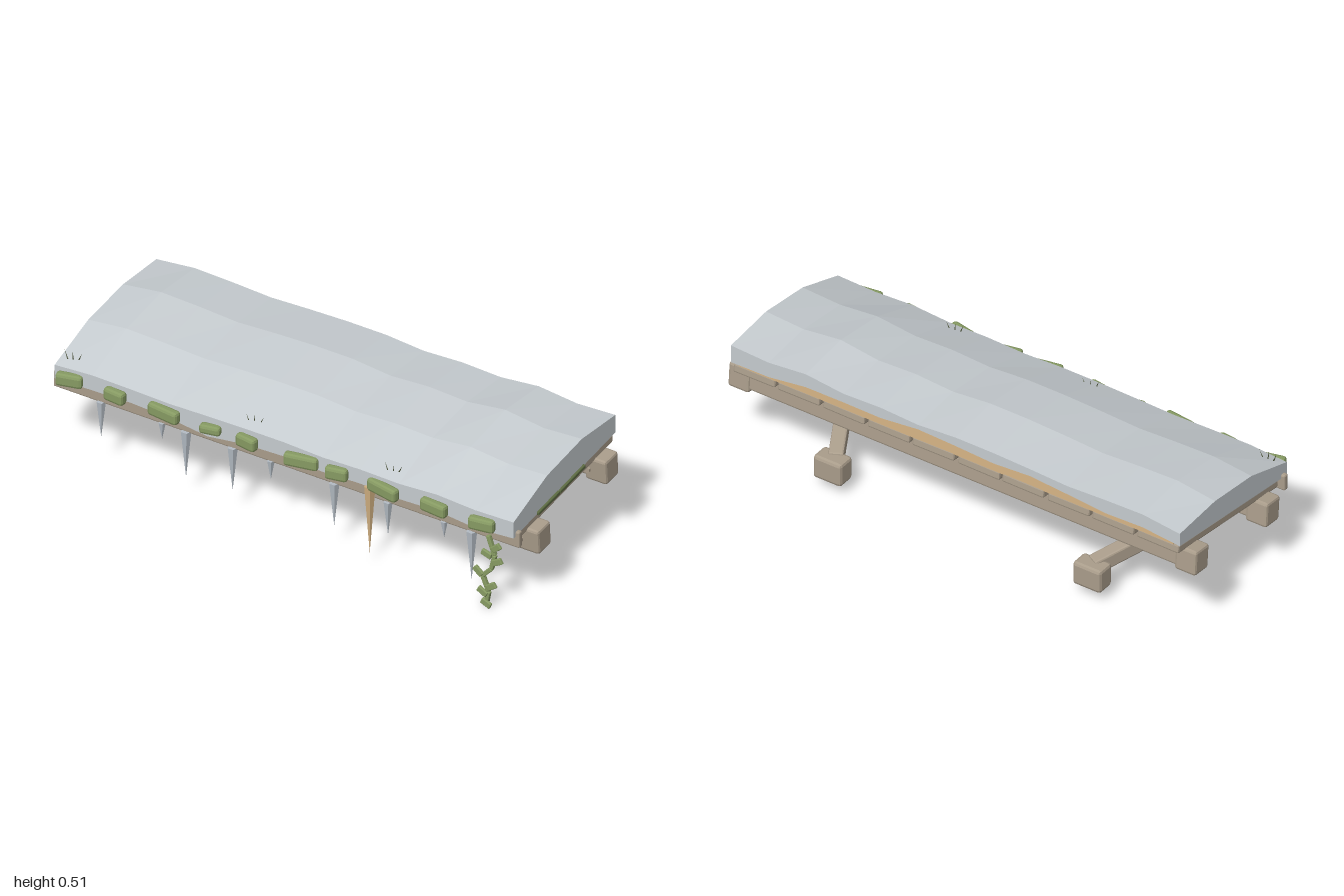
import * as THREE from 'three';
import { RoundedBoxGeometry } from 'three/addons/geometries/RoundedBoxGeometry.js';

const mat = (name, color) => {
  const m = new THREE.MeshStandardMaterial({ color });
  m.name = name;
  return m;
};

export function createModel() {
  const root = new THREE.Group();
  root.name = 'snowyCanopy';
  const wood = mat('weatheredWood', 0xaa9d8b);
  const snowMat = mat('snow', 0xc6ccd0);
  const ice = mat('ice', 0xb4bcc4);
  const straw = mat('straw', 0xcfae80);
  const moss = mat('moss', 0x879b63);
  const darkMoss = mat('darkMoss', 0x5c6a42);
  const grass = mat('dryGrass', 0x4a5138);

  const flat = (g) => {
    const f = g.index ? g.toNonIndexed() : g;
    f.computeVertexNormals();
    return f;
  };
  const add = (name, geo, material, x, y, z, parent = root) => {
    const m = new THREE.Mesh(flat(geo), material);
    m.name = name;
    m.position.set(x, y, z);
    parent.add(m);
    return m;
  };
  // Chamfered box
  const block = (name, w, h, d, material, x, y, z, bevel = 0.008, parent = root) =>
    add(name, new RoundedBoxGeometry(w, h, d, 1, bevel), material, x, y, z, parent);
  // Chamfered bar running from point a to point b
  const bar = (name, a, b, w, h, material, bevel) => {
    const p = new THREE.Vector3(...a), q = new THREE.Vector3(...b);
    const mid = p.clone().add(q).multiplyScalar(0.5);
    const m = block(name, w, h, p.distanceTo(q), material, mid.x, mid.y, mid.z, bevel);
    m.lookAt(q);
    return m;
  };

  // Sloping deck of planks with a straw layer on top
  const deck = new THREE.Group();
  deck.name = 'deck';
  deck.position.set(0, 0.346, -0.037);
  deck.rotation.x = 0.128;
  root.add(deck);
  const count = 10, pitch = 1.92 / count;
  for (let i = 0; i < count; i++) {
    const wob = Math.sin(i * 2.7);
    const p = block('plank', pitch - 0.014, 0.036, 0.622 + 0.005 * wob, wood,
      -0.96 + pitch * (i + 0.5), 0.002 * wob, 0, 0.007, deck);
    p.rotation.z = 0.012 * Math.sin(i * 1.9 + 1);
  }
  add('strawLayer', new THREE.BoxGeometry(1.86, 0.052, 0.6), straw, 0, 0.04, -0.012, deck);

  // Front fascia board
  block('fascia', 1.95, 0.066, 0.022, wood, 0, 0.306, 0.289, 0.006);

  // Cross beams with thicker end blocks and pegs
  for (const [y, z] of [[0.258, 0.172], [0.312, -0.266]]) {
    block('crossBeam', 1.9, 0.078, 0.068, wood, 0, y, z).rotation.x = 0.08;
    for (const s of [-1, 1]) {
      block('beamEnd', 0.09, 0.1, 0.084, wood, s * 0.955, y, z, 0.01).rotation.x = 0.08;
      add('peg', new THREE.CylinderGeometry(0.012, 0.012, 0.02, 6).rotateX(Math.PI / 2),
        wood, s * 0.925, y - 0.005, z + 0.043);
    }
  }

  // Diagonal braces and feet
  for (const s of [-1, 1]) {
    bar('brace', [s * 0.79, 0.238, 0.17], [s * 0.55, 0.118, -0.29], 0.055, 0.058, wood, 0.007);
    block('foot', 0.12, 0.095, 0.076, wood, s * 0.555, 0.093, -0.304, 0.012);
    add('peg', new THREE.CylinderGeometry(0.01, 0.01, 0.02, 6).rotateX(Math.PI / 2),
      wood, s * 0.555, 0.08, -0.262);
  }

  // Snow blanket lofted along x from wavy cross-sections
  const crest = [-0.024, -0.001, -0.006, -0.015, -0.006, 0, 0, -0.015, -0.005, -0.012, 0.01, -0.01, 0];
  const frontHem = [0.318, 0.322, 0.326, 0.318, 0.298, 0.32, 0.326, 0.318, 0.324, 0.316, 0.322, 0.306, 0.318];
  const n = crest.length - 1;
  const rings = crest.map((c, i) => {
    const x = -0.96 + 1.92 * i / n;
    const backHem = 0.405 + 0.036 * Math.sin(Math.PI * i / n) + 0.008 * Math.sin(i * 2.1) * (i % n ? 1 : 0);
    return [[0.313, frontHem[i]], [0.313, 0.385 + c * 0.45], [0.095, 0.464 + c * 0.8],
      [-0.13, 0.495 + c], [-0.347, 0.478 + c * 0.8], [-0.347, backHem]].map(([z, y]) => [x, y, z]);
  });
  const pos = [];
  const tri = (a, b, c) => pos.push(...a, ...b, ...c);
  for (let i = 0; i < n; i++) {
    for (let j = 0; j < 6; j++) {
      const k = (j + 1) % 6, A = rings[i], B = rings[i + 1];
      tri(A[j], B[j], B[k]);
      tri(A[j], B[k], A[k]);
    }
  }
  for (let j = 1; j < 5; j++) {
    const L = rings[0], R = rings[n];
    tri(L[0], L[j], L[j + 1]);
    tri(R[0], R[j + 1], R[j]);
  }
  const snow = new THREE.BufferGeometry();
  snow.setAttribute('position', new THREE.Float32BufferAttribute(pos, 3));
  add('snow', snow, snowMat, 0, 0, 0);

  // Icicles: x, tip height
  const spike = (name, x, top, tip, r, z, material) =>
    add(name, new THREE.ConeGeometry(r, top - tip, 5).rotateX(Math.PI), material, x, (top + tip) / 2, z);
  for (const [x, tip] of [[-0.775, 0.13], [-0.52, 0.21], [-0.42, 0.085], [-0.225, 0.1], [-0.065, 0.2],
    [0.2, 0.1], [0.425, 0.14], [0.66, 0.21], [0.775, 0.075]])
    spike('icicle', x, 0.278, tip, 0.01 + (0.278 - tip) * 0.05, 0.298, ice);
  spike('strawSpike', 0.355, 0.325, 0.045, 0.021, 0.308, straw);

  // Moss clumps along the eave: x centre, width, turn
  for (const [x, w, turn] of [[-0.89, 0.1, 0.25], [-0.7, 0.085, -0.1], [-0.495, 0.13, -0.12], [-0.3, 0.08, 0.2],
    [-0.148, 0.085, -0.15], [0.08, 0.13, 0.2], [0.228, 0.085, 0.2], [0.422, 0.135, -0.2], [0.635, 0.11, -0.1],
    [0.835, 0.1, 0.15]])
    block('mossClump', w, w < 0.082 ? 0.036 : 0.05, 0.036, moss, x, 0.342, 0.325, 0.011).rotation.y = turn;

  // Moss strips on the deck's left side
  bar('sideMoss', [0.958, 0.341, 0.162], [0.958, 0.357, 0.024], 0.022, 0.014, darkMoss, 0.003);
  bar('sideMoss', [0.958, 0.356, 0.022], [0.958, 0.378, -0.142], 0.022, 0.014, darkMoss, 0.003);

  // Hanging vine with leaves
  const vine = [[0.858, 0.3], [0.885, 0.225], [0.872, 0.165], [0.835, 0.125], [0.86, 0.065], [0.85, 0.01]];
  for (let i = 0; i < vine.length - 1; i++)
    bar('vineStem', [...vine[i], 0.318], [...vine[i + 1], 0.318], 0.016, 0.016, moss, 0.003);
  for (const [x, y, turn] of [[0.895, 0.262, 0.7], [0.855, 0.225, -0.3], [0.9, 0.205, 0.5],
    [0.82, 0.142, -0.7], [0.875, 0.095, 0.6], [0.838, 0.062, -0.5], [0.853, 0.018, -0.4]])
    block('vineLeaf', 0.042, 0.024, 0.012, moss, x, y, 0.325, 0.003).rotation.z = turn;

  // Grass blades poking through the snow
  for (const cx of [-0.91, -0.15, 0.43]) {
    for (let i = 0; i < 3; i++) {
      const b = add('grassBlade', new THREE.ConeGeometry(0.004, 0.05, 4), grass,
        cx + (i - 1) * 0.024, 0.4, 0.275 - i * 0.004);
      b.rotation.z = [0.35, 0.1, -0.45][i];
    }
  }
  return root;
}
